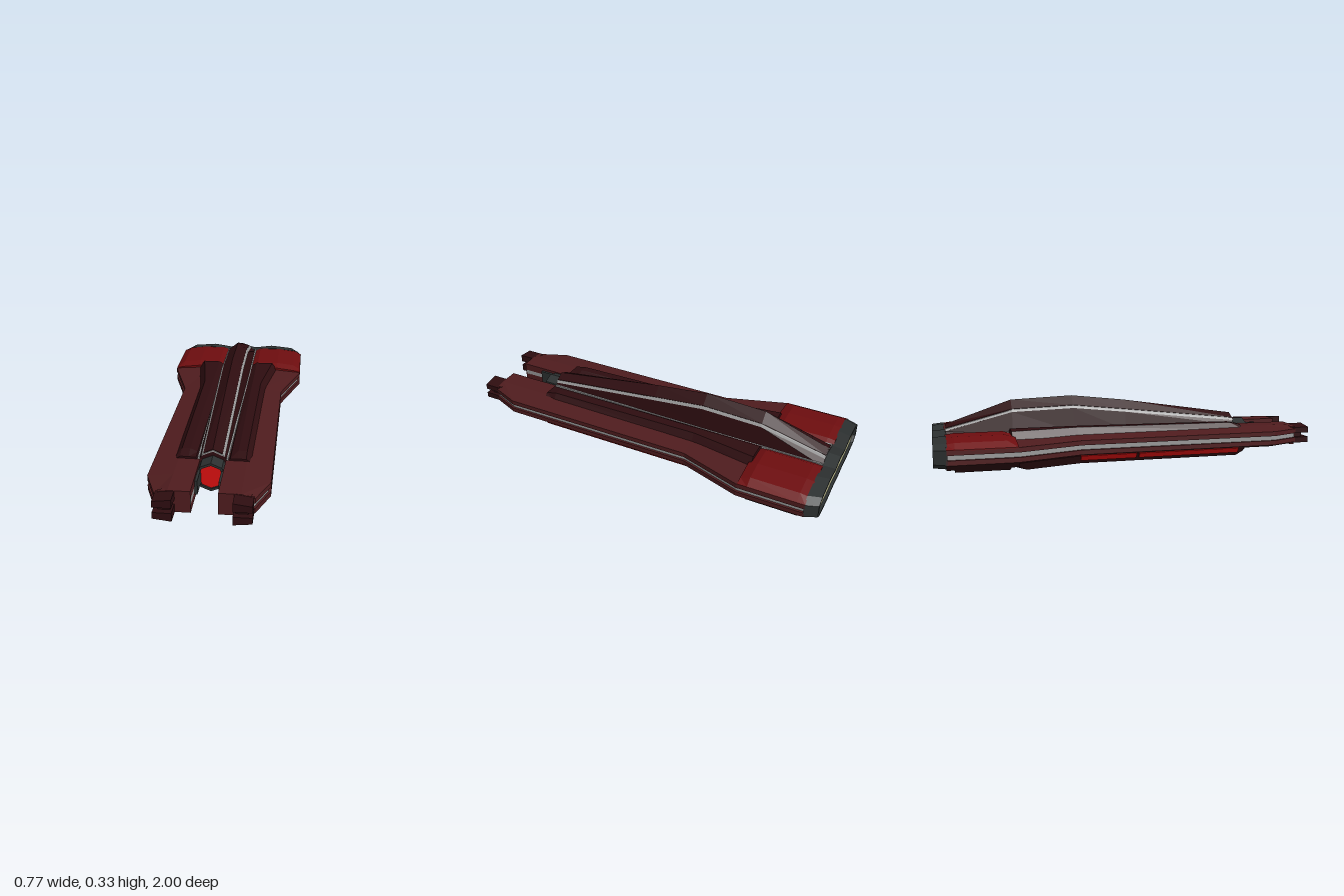
import * as THREE from 'three';

const mat = (color) => new THREE.MeshStandardMaterial({ color, flatShading: true });
const HULL = mat(0x4f1c1e), DARK = mat(0x2e0d10), PANEL = mat(0x6e0d0f), LIGHT = mat(0xdd1010),
  METAL = mat(0x2c3030), TRIM = mat(0x999999), GLOW = mat(0xb2b086);

// Closed faceted body through cross-sections: stations are { z, p: [[x, y], ...] }
function loft(stations) {
  let s = stations.map(({ z, p }) => ({ z, p: p.map(([x, y]) => new THREE.Vector2(x, y)) }));
  if (THREE.ShapeUtils.area(s[0].p) < 0) s.forEach((k) => k.p.reverse());
  if (s[0].z > s[s.length - 1].z) s.reverse();
  const pos = [], n = s[0].p.length;
  const put = (k, j) => pos.push(s[k].p[j % n].x, s[k].p[j % n].y, s[k].z);
  for (let k = 0; k < s.length - 1; k++) {
    for (let j = 0; j < n; j++) {
      put(k, j); put(k, j + 1); put(k + 1, j + 1);
      put(k, j); put(k + 1, j + 1); put(k + 1, j);
    }
  }
  const last = s.length - 1;
  for (const [a, b, c] of THREE.ShapeUtils.triangulateShape(s[last].p, [])) { put(last, a); put(last, b); put(last, c); }
  for (const [a, b, c] of THREE.ShapeUtils.triangulateShape(s[0].p, [])) { put(0, c); put(0, b); put(0, a); }
  const g = new THREE.BufferGeometry();
  g.setAttribute('position', new THREE.Float32BufferAttribute(pos, 3));
  g.computeVertexNormals();
  return g;
}

// Full section from its +x half, listed top to bottom
const sym = (half) => [...half, ...half.filter(([x]) => x > 0).reverse().map(([x, y]) => [-x, y])];

export function createModel() {
  const model = new THREE.Group();
  const add = (name, geometry, material) => {
    const m = new THREE.Mesh(geometry, material);
    m.name = name;
    model.add(m);
    return m;
  };
  // The same part on both sides
  const pair = (name, stations, material) => {
    add(name + 'Left', loft(stations), material);
    add(name + 'Right', loft(stations.map(({ z, p }) => ({ z, p: p.map(([x, y]) => [-x, y]) }))), material);
  };

  // Hull plates above and below the side groove; prongs flank the nose notch
  const upper = (xi, w) => [[xi, 0.114], [w, 0.114], [w, 0.138], [Math.min(w - 0.05, 0.16), 0.155], [xi, 0.155]];
  const lower = (xi, w) => [[xi, 0.09], [w, 0.09], [w, 0.066], [w - 0.05, 0.05], [xi, 0.05]];
  const strip = (xi, w) => [[xi, 0.088], [w - 0.012, 0.088], [w - 0.012, 0.116], [xi, 0.116]];
  const outline = [[0.62, 0.28], [-0.28, 0.28], [-0.6, 0.382], [-0.94, 0.382]];
  const prong = [[0.92, 0.22], [0.77, 0.28], [0.62, 0.28]];
  for (const [name, section, material] of [['upperHull', upper, HULL], ['lowerHull', lower, HULL], ['sideStrip', strip, TRIM]]) {
    pair(name, outline.map(([z, w]) => ({ z, p: section(0, w) })), material);
    pair(name + 'Prong', prong.map(([z, w]) => ({ z, p: section(0.06, w) })), material);
  }
  pair('prongFront', [0.9, 0.921].map((z) => ({ z, p: [[0.06, 0.05], [0.205, 0.05], [0.205, 0.148], [0.13, 0.155], [0.06, 0.155]] })), HULL);
  pair('notchLining', [0.6, 0.8].map((z) => ({ z, p: [[0.048, 0.07], [0.07, 0.07], [0.07, 0.14], [0.048, 0.14]] })), METAL);

  // Split prong tips
  pair('upperTip', [0.91, 1].map((z) => ({ z, p: [[0.13, 0.114], [0.215, 0.114], [0.215, 0.144], [0.13, 0.155]] })), DARK);
  pair('lowerTip', [0.91, 1].map((z) => ({ z, p: [[0.13, 0.09], [0.215, 0.09], [0.215, 0.06], [0.13, 0.05]] })), DARK);
  pair('tipCore', [0.91, 0.97].map((z) => ({ z, p: [[0.14, 0.085], [0.195, 0.085], [0.195, 0.12], [0.14, 0.12]] })), DARK);

  // Long raised ridges beside the spine
  pair('deckRidge', [[0.62, 0.185, 0.165], [0.56, 0.185, 0.178], [-0.28, 0.192, 0.187], [-0.62, 0.24, 0.187]].map(([z, w, y]) => ({
    z, p: [[0.07, 0.145], [w, 0.145], [w - 0.03, y], [0.115, y], [0.08, 0.163]],
  })), DARK);

  // Spine: walls, chevron trim and peaked roof
  const spine = [[0.62, 0.185, 0.21, 0.045, 0.068], [0, 0.255, 0.302, 0.05, 0.076], [-0.28, 0.285, 0.333, 0.052, 0.08],
    [-0.6, 0.275, 0.32, 0.052, 0.083], [-0.935, 0.188, 0.205, 0.045, 0.086]];
  add('spineWalls', loft(spine.map(([z, e, t, xe, xb]) => ({
    z, p: sym([[0, t - 0.012], [xe + 0.01, e - 0.012], [xb, 0.15], [0, 0.15]]),
  }))), DARK);
  add('spineTrim', loft(spine.map(([z, e, t, xe], i) => ({
    z: z + (i === 0 ? 0.003 : i === 4 ? -0.002 : 0),
    p: sym([[0, t - 0.004], [xe + 0.004, e - 0.002], [xe + 0.011, e - 0.012], [0, t - 0.012]]),
  }))), TRIM);
  add('spineRoof', loft(spine.map(([z, e, t, xe]) => ({
    z, p: sym([[0, t], [xe, e + 0.003], [xe, e - 0.003], [0, t - 0.006]]),
  }))), DARK);
  pair('spineBaseTrim', [[0.62, 0.066], [-0.935, 0.085]].map(([z, x]) => ({
    z, p: [[x - 0.005, 0.15], [x + 0.006, 0.15], [x + 0.006, 0.167], [x - 0.003, 0.167]],
  })), TRIM);

  // Octagonal nose ring with a red lens
  const ring = [[0.05, 0.55], [0.072, 0.55], [0.072, 0.7], [0.06, 0.7], [0.06, 0.67]].map(([r, z]) => new THREE.Vector2(r, z));
  const noseRing = add('noseRing', new THREE.LatheGeometry(ring, 8), METAL);
  noseRing.material = METAL.clone();
  noseRing.material.side = THREE.DoubleSide;
  noseRing.rotation.x = Math.PI / 2;
  noseRing.position.y = 0.105;
  const lens = add('noseLens', new THREE.CylinderGeometry(0.06, 0.06, 0.1, 8), LIGHT);
  lens.rotation.x = Math.PI / 2;
  lens.position.set(0, 0.105, 0.64);

  // Belly with a central trough and side light strips
  pair('belly', [[0.61, 0, 0.034], [0.57, 0, 0.012], [-0.28, 0, 0.012], [-0.56, 0.08, 0.012], [-0.62, 0.09, 0.032]].map(([z, d, y]) => ({
    z, p: [[0, 0.055], [0.252 + d, 0.055], [0.225 + d, y], [0.1, y], [0.07, 0.036], [0, 0.036]],
  })), DARK);
  for (const [a, b] of [[0.57, 0.025], [0.01, -0.28]]) {
    pair('bellyLight', [a, b].map((z) => ({ z, p: [[0.22, 0.056], [0.262, 0.056], [0.243, 0.029], [0.22, 0.029]] })), LIGHT);
  }

  // Rear engine housing: red top panels, underside and keel block
  pair('rearPanel', [[-0.605, 0.016], [-0.655, 0], [-0.9, 0], [-0.94, 0.006]].map(([z, d]) => ({
    z, p: [[0.088, 0.135], [0.382, 0.135], [0.382, 0.14], [0.34, 0.166 - d], [0.24, 0.178 - d], [0.12, 0.176 - d], [0.088, 0.16 - d / 2]],
  })), PANEL);
  add('rearUnderside', loft([-0.6, -0.94].map((z) => ({
    z, p: sym([[0, 0.08], [0.38, 0.08], [0.38, 0.066], [0.345, 0.036], [0, 0.034]]),
  }))), DARK);
  add('keelBlock', loft([-0.64, -0.9].map((z) => ({
    z, p: sym([[0, 0.06], [0.378, 0.066], [0.34, 0.024], [0.25, 0.009], [0, 0]]),
  }))), DARK);

  // Exhaust rim and glowing plate
  const rim = (sx, sy) => sym([[0, 0.178], [0.088, 0.16], [0.2, 0.176], [0.34, 0.163], [0.383, 0.138], [0.383, 0.068],
    [0.34, 0.042], [0.2, 0.034], [0.088, 0.042], [0, 0.034]].map(([x, y]) => [x * sx, 0.105 + (y - 0.105) * sy]));
  add('exhaustRim', loft([
    { z: -0.935, p: rim(1, 1) }, { z: -1, p: rim(0.935, 0.94) },
    { z: -1, p: rim(0.89, 0.78) }, { z: -0.98, p: rim(0.88, 0.76) },
  ]), METAL);
  add('exhaustGlow', loft([-0.96, -0.986].map((z) => ({ z, p: rim(0.88, 0.76) }))), GLOW);

  return model;
}
